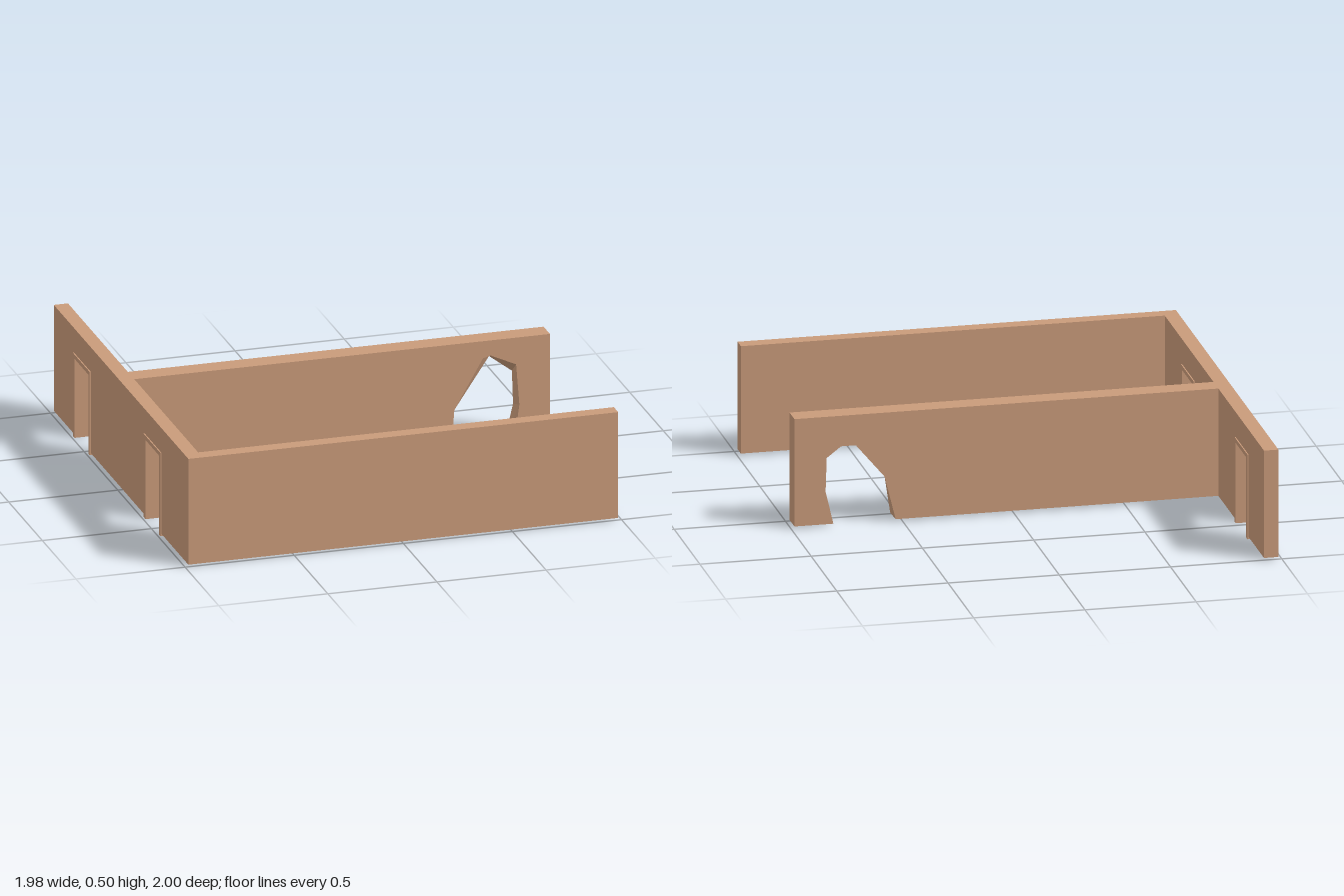
import * as THREE from 'three';

const BASE = 0.01, TOP = 0.505;
const material = new THREE.MeshStandardMaterial({ color: 0xc99b7a, flatShading: true, side: THREE.DoubleSide });

const outline = (points) => new THREE.Shape(points.map(([a, b]) => new THREE.Vector2(a, b)));
const extrude = (points, depth) =>
  new THREE.ExtrudeGeometry(outline(points), { depth, bevelEnabled: false });

function addMesh(group, name, geometry) {
  const mesh = new THREE.Mesh(geometry, material);
  mesh.name = name;
  group.add(mesh);
  return mesh;
}

// Extrudes a (z, y) outline along x, from x0 to x1
function extrudeAcross(points, x0, x1) {
  const geometry = extrude(points.map(([z, y]) => [-z, y]), x1 - x0);
  return geometry.rotateY(Math.PI / 2).translate(x0, 0, 0);
}

export function createModel() {
  const group = new THREE.Group();
  group.name = 'wallSection';

  // Doorways in the side wall: frame range and opening range along z
  const doors = [
    { frame: [-0.7, -0.45], open: [-0.675, -0.47] },
    { frame: [0.35, 0.6], open: [0.38, 0.58] },
  ];
  const doorTop = 0.37, frameTop = 0.39;

  // Side wall notched by both doorways
  const side = [[-1, BASE]];
  for (const { open: [a, b] } of doors) side.push([a, BASE], [a, doorTop], [b, doorTop], [b, BASE]);
  side.push([1, BASE], [1, TOP], [-1, TOP]);
  addMesh(group, 'sideWall', extrudeAcross(side, -0.985, -0.92));

  // Slightly proud door frames
  for (const { frame: [f0, f1], open: [a, b] } of doors) {
    const arch = [[f0, 0], [a, 0], [a, doorTop], [b, doorTop], [b, 0], [f1, 0], [f1, frameTop], [f0, frameTop]];
    addMesh(group, 'doorFrame', extrudeAcross(arch, -0.99, -0.915));
  }

  // Plain front wall
  const front = addMesh(group, 'frontWall', new THREE.BoxGeometry(1.97, TOP - BASE, 0.065));
  front.position.set(0, (TOP + BASE) / 2, 0.9675);

  // Middle wall with a ragged breach that is cut at a slant through its thickness
  const breachBack = [[0.53, BASE], [0.58, 0.21], [0.735, 0.395], [0.84, 0.315], [0.845, 0.16], [0.81, BASE]];
  const breachFront = [[0.533, BASE], [0.545, 0.195], [0.69, 0.445], [0.83, 0.38], [0.845, 0.19], [0.82, BASE]];
  const depth = 0.095;
  const middle = extrude([[-0.92, BASE], ...breachBack, [0.985, BASE], [0.985, TOP], [-0.92, TOP]], depth);
  const pos = middle.attributes.position;
  for (let i = 0; i < pos.count; i++) {
    if (pos.getZ(i) < depth / 2) continue;
    const k = breachBack.findIndex(([x, y]) => Math.hypot(pos.getX(i) - x, pos.getY(i) - y) < 1e-4);
    if (k >= 0) pos.setXY(i, ...breachFront[k]);
  }
  middle.computeVertexNormals();
  addMesh(group, 'middleWall', middle.translate(0, 0, -0.11));

  return group;
}
